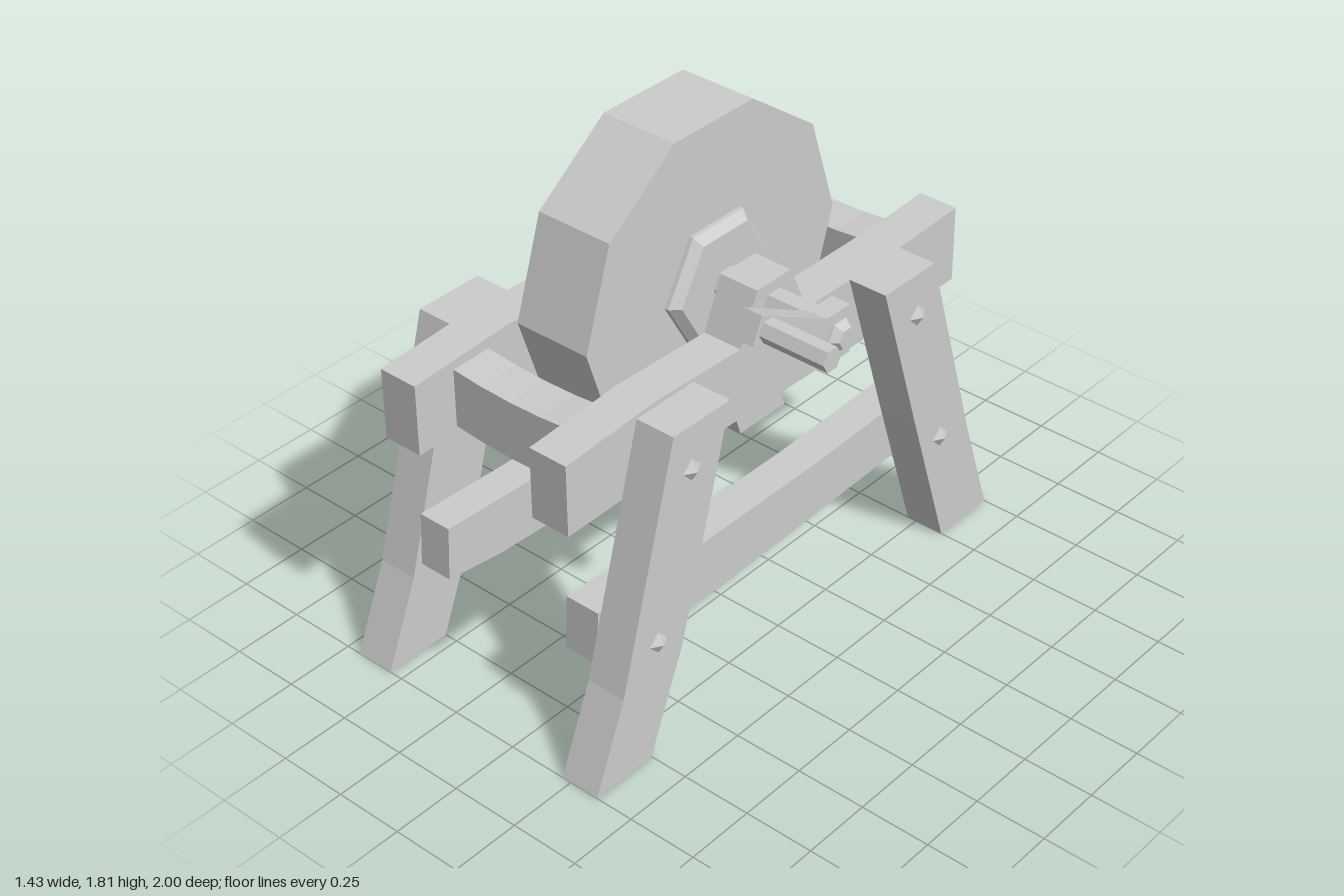
import * as THREE from 'three';

const material = new THREE.MeshStandardMaterial({ color: 0xcccccc, flatShading: true });

function add(parent, name, geometry) {
  const mesh = new THREE.Mesh(geometry, material);
  mesh.name = name;
  parent.add(mesh);
  return mesh;
}

// Side outline given as [z, y] points, extruded from x0 to x1
function slab(outline, x0, x1) {
  const shape = new THREE.Shape(outline.map(([z, y]) => new THREE.Vector2(-z, y)));
  const geometry = new THREE.ExtrudeGeometry(shape, { depth: x1 - x0, bevelEnabled: false });
  return geometry.rotateY(Math.PI / 2).translate(x0, 0, 0);
}

// Faceted solid turned about the x axis, profile given as [radius, x]
function turned(profile, sides, y, z) {
  const points = profile.map(([r, x]) => new THREE.Vector2(r, x));
  return new THREE.LatheGeometry(points, sides).rotateZ(-Math.PI / 2).translate(0, y, z);
}

export function createModel() {
  const model = new THREE.Group();
  model.name = 'grindstone';
  const axleY = 1.25;

  // Stone wheel with its hub and axle
  add(model, 'stoneWheel', turned([[0, -0.31], [0.585, -0.31], [0.585, -0.025], [0, -0.025]], 10, axleY, 0));
  add(model, 'wheelHub', turned(
    [[0, -0.36], [0.205, -0.36], [0.235, -0.325], [0.235, -0.01], [0.205, 0.02], [0, 0.02]], 6, axleY, 0));
  add(model, 'axle', turned(
    [[0, -0.61], [0.057, -0.61], [0.057, 0.475], [0.035, 0.5], [0, 0.5]], 6, axleY, 0));

  // Crank arm and handle
  add(model, 'crankArm', slab([
    [0.1, 1.23], [0.06, 1.163], [-0.05, 1.163], [-0.097, 1.25], [-0.05, 1.337],
    [0.06, 1.337], [0.365, 1.5], [0.405, 1.41]], 0.4, 0.47));
  add(model, 'crankHandle', turned([[0, 0.39], [0.041, 0.39], [0.041, 0.71], [0, 0.71]], 6, 1.437, 0.337));

  // The two side frames: x0 and x1 bound the rail, leg stands on its outer side
  for (const side of [1, -1]) {
    const frame = new THREE.Group();
    frame.name = side > 0 ? 'leftFrame' : 'rightFrame';
    model.add(frame);
    const [x0, x1] = side > 0 ? [0.07, 0.215] : [-0.55, -0.405];
    const [leg0, leg1] = side > 0 ? [0.215, 0.36] : [-0.695, -0.55];
    const [low0, low1] = side > 0 ? [0.085, 0.215] : [-0.55, -0.425];

    // Gently warped upper rail and lower stretcher
    add(frame, 'upperRail', slab([
      [0.935, 0.9], [0.935, 1.155], [0.55, 1.178], [0, 1.16], [-0.7, 1.158],
      [-0.935, 1.17], [-0.935, 0.893], [-0.4, 0.892], [0.2, 0.908]], x0, x1));
    add(frame, 'lowerStretcher', slab([
      [0.83, 0.345], [0.82, 0.54], [0.45, 0.525], [-0.2, 0.522], [-0.82, 0.54],
      [-0.815, 0.335], [-0.6, 0.327], [0.25, 0.298], [0.6, 0.315]], low0, low1));
    add(frame, 'axleBearing', slab([[0.165, 1.15], [0.08, 1.34], [-0.08, 1.34], [-0.165, 1.15]], x0, x1));

    // Splayed legs, each with two pointed pegs
    for (const end of [1, -1]) {
      const outline = end > 0
        ? [[1, 0], [0.87, 0.31], [0.63, 1.16], [0.375, 1.16], [0.6, 0.36], [0.75, 0]]
        : [[1, 0], [0.87, 0.38], [0.63, 1.16], [0.375, 1.16], [0.56, 0.58], [0.75, 0]];
      const points = outline.map(([z, y]) => [z * end, y]);
      add(frame, end > 0 ? 'frontLeg' : 'backLeg', slab(points, leg0, leg1));
      for (const [z, y] of [[0.55, 1], [0.71, 0.437]]) {
        const peg = new THREE.ConeGeometry(0.041, 0.024, 4).rotateZ(-side * Math.PI / 2);
        const face = side > 0 ? leg1 : leg0;
        add(frame, 'peg', peg.translate(face + side * 0.011, y, z * end));
      }
    }
  }

  // Crossbars joining the rails, slightly sagging in the middle
  for (const [name, z] of [['frontCrossbar', 0.697], ['backCrossbar', -0.705]]) {
    const bar = new THREE.BoxGeometry(0.5, 0.21, 0.153, 4, 1, 1);
    const pos = bar.attributes.position;
    for (let i = 0; i < pos.count; i++) {
      const t = pos.getX(i) / 0.25;
      pos.setY(i, pos.getY(i) - 0.015 * (1 - t * t));
    }
    add(model, name, bar.translate(-0.167, 1.03, z));
  }
  return model;
}
